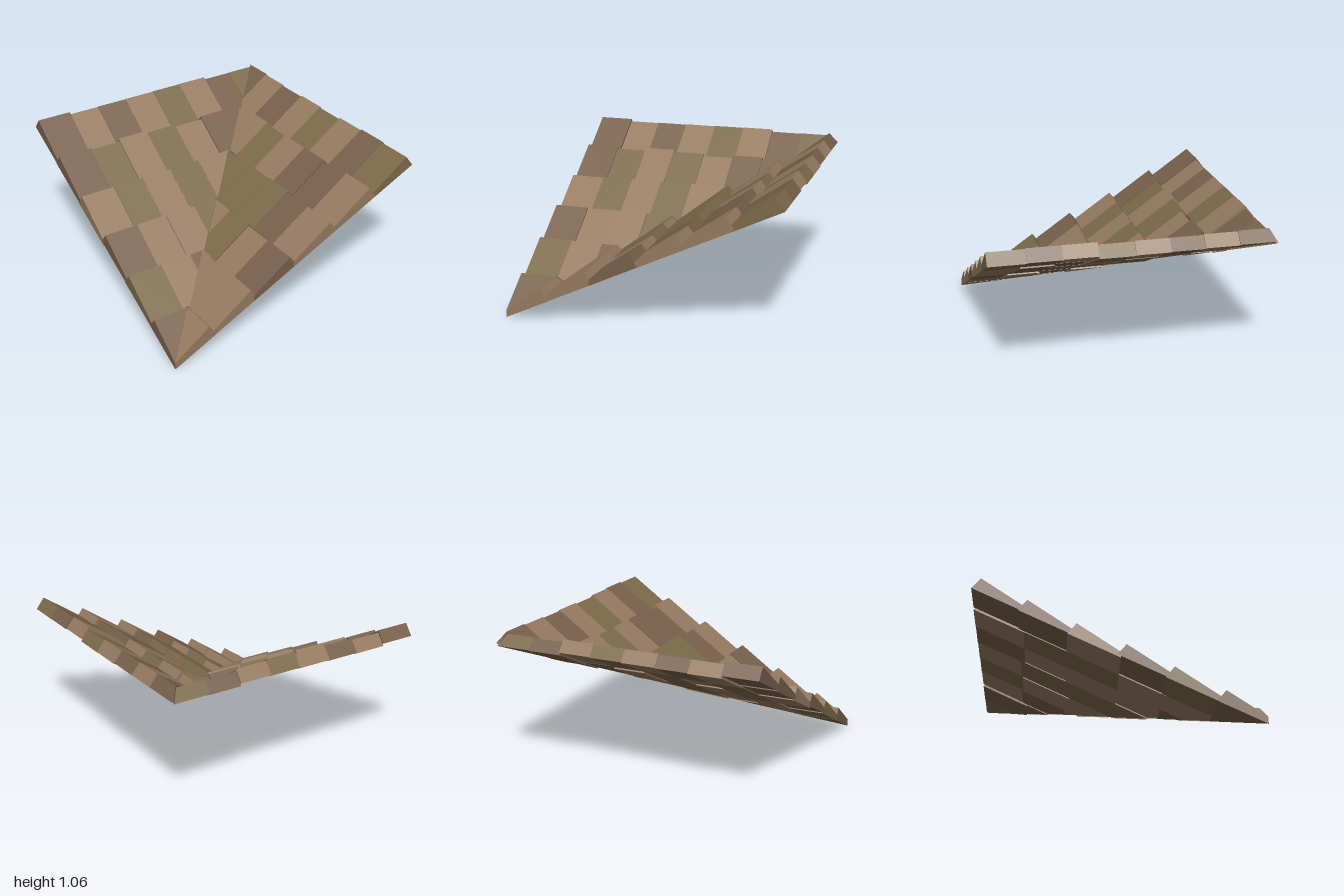
import * as THREE from 'three';
import { ConvexGeometry } from 'three/addons/geometries/ConvexGeometry.js';

const MATERIALS = {
  L: new THREE.MeshStandardMaterial({ color: 0x967a60 }),
  D: new THREE.MeshStandardMaterial({ color: 0x78604c }),
  O: new THREE.MeshStandardMaterial({ color: 0x7c6a4a }),
};

// Shade of every shingle: one string per row, lowest row first, outer column first
const FRONT_SLOPE = ['DD', 'OLD', 'DLLO', 'LOLOLL', 'DOLOLDD', 'DLDLOLDO'];
const SIDE_SLOPE = ['LL', 'LLL', 'DLOL', 'LDOOOO', 'LDDLOLL', 'ODLOLDLD'];

const PITCH = 1 / 3;     // plan length of a row
const RISE = 0.483;      // steepness of the roof underside
const columnEdges = [0, 0.26, 0.5, 0.74, 0.99, 1.23, 1.47, 1.71, 1.975];

// Small repeatable variation in 0..1
const vary = (a, b) => ((a * 37 + b * 53 + a * b * 17) % 11) / 10;

// Plan rectangle (u runs up the slope, v along it), cut along the valley v = u
function cutRectangle(u0, u1, v0, v1) {
  const corners = [[u0, v0], [u1, v0], [u1, v1], [u0, v1]];
  const out = [];
  corners.forEach((p, i) => {
    const q = corners[(i + 1) % 4];
    const dp = p[0] - p[1], dq = q[0] - q[1];
    if (dp >= 0) out.push(p);
    if (dp * dq < 0) {
      const t = dp / (dp - dq);
      out.push([p[0] + (q[0] - p[0]) * t, p[1] + (q[1] - p[1]) * t]);
    }
  });
  return out;
}

// Wedge shingle: thin at its low end, thick at its raised upper end
function shingleGeometry(row, col, seed, place) {
  const shift = row === 5 ? -0.012 * vary(row + seed, col) : 0.016 * (vary(row + seed, col) - 0.5);
  const lift = row === 0 ? 0 : 0.02 * vary(col + seed, row + 2) - 0.008;
  const start = Math.max(0, row * PITCH - 0.03);
  const end = (row + 1) * PITCH + shift;
  const [v0, v1] = [columnEdges[col], columnEdges[col + 1]];
  const bottom = cutRectangle(start, end, v0, v1);
  const top = cutRectangle(start, end - 0.063, v0, v1);
  if (bottom.length < 3 || top.length < 3) return null;
  const base = (u) => 0.003 + RISE * u + lift;
  const thickness = (u) => 0.045 + 0.22 * (u - row * PITCH + 0.03);
  return new ConvexGeometry([
    ...bottom.map(([u, v]) => place(u, base(u), v)),
    ...top.map(([u, v]) => place(u, base(u) + thickness(u), v)),
  ]);
}

function buildSlope(name, shades, seed, place) {
  const slope = new THREE.Group();
  slope.name = name;
  shades.forEach((line, row) => {
    [...line].forEach((shade, col) => {
      const geometry = shingleGeometry(row, col, seed, place);
      if (!geometry) return;
      const shingle = new THREE.Mesh(geometry, MATERIALS[shade]);
      shingle.name = `${name}Shingle_row${row + 1}_column${col + 1}`;
      slope.add(shingle);
    });
  });
  return slope;
}

export function createModel() {
  const roof = new THREE.Group();
  roof.name = 'roofValleyCorner';
  // Two slopes mirrored across the diagonal valley
  roof.add(buildSlope('frontSlope', FRONT_SLOPE, 1, (u, y, v) => new THREE.Vector3(v - 1, y, 1 - u)));
  roof.add(buildSlope('sideSlope', SIDE_SLOPE, 4, (u, y, v) => new THREE.Vector3(u - 1, y, 1 - v)));
  return roof;
}
